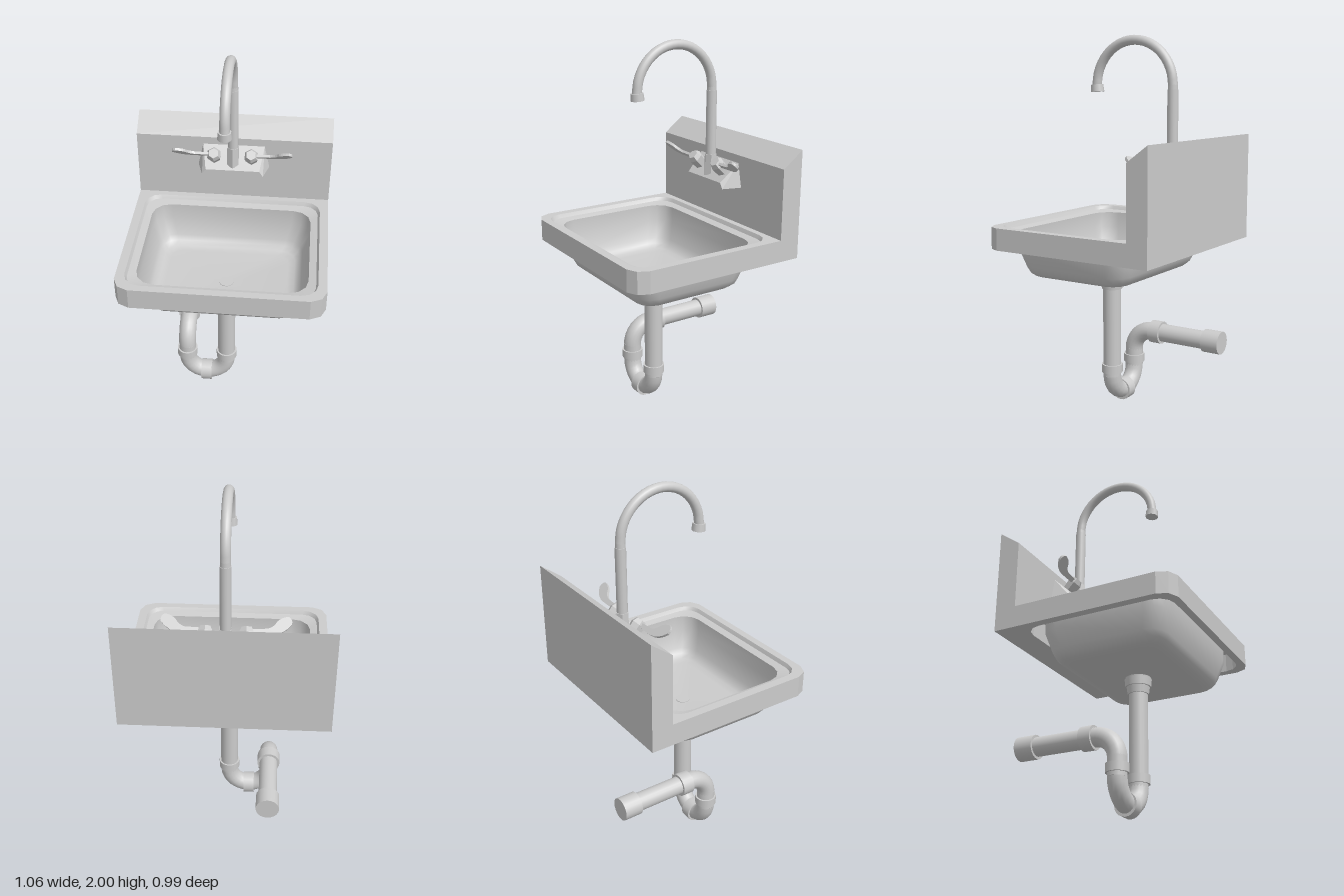
import * as THREE from 'three';
import { toCreasedNormals } from 'three/addons/utils/BufferGeometryUtils.js';
import { ConvexGeometry } from 'three/addons/geometries/ConvexGeometry.js';

const material = new THREE.MeshStandardMaterial({ color: 0xcccccc });
const thin = new THREE.MeshStandardMaterial({ color: 0xcccccc, side: THREE.DoubleSide });
const flat = new THREE.MeshStandardMaterial({ color: 0xcccccc, flatShading: true });
const V = (x, y, z) => new THREE.Vector3(x, y, z);
const UP = V(0, 1, 0);
const BOWL_Z = 0.057; // centre of bowl and drain

function add(parent, name, geometry, mat = material) {
  const mesh = new THREE.Mesh(geometry, mat);
  mesh.name = name;
  parent.add(mesh);
  return mesh;
}

// Cylinder or cone running from a to b
function rod(parent, name, a, b, r0, r1 = r0, sides = 20, mat = material) {
  const dir = b.clone().sub(a);
  const mesh = add(parent, name, new THREE.CylinderGeometry(r1, r0, dir.length(), sides), mat);
  mesh.position.copy(a).add(b).multiplyScalar(0.5);
  mesh.quaternion.setFromUnitVectors(UP, dir.normalize());
  return mesh;
}

// Circular pipe bend; at(cos, sin) places a point of the arc
function bend(parent, name, at, a0, a1, r, segments) {
  const points = [];
  for (let i = 0; i <= 12; i++) {
    const a = a0 + (a1 - a0) * i / 12;
    points.push(at(Math.cos(a), Math.sin(a)));
  }
  const curve = new THREE.CatmullRomCurve3(points);
  return add(parent, name, new THREE.TubeGeometry(curve, segments, r, 18), thin);
}

// Rounded rectangle outline as 2D points
function ring(hx, hz, r, steps = 3) {
  const points = [];
  [[1, 1], [-1, 1], [-1, -1], [1, -1]].forEach(([sx, sz], q) => {
    for (let i = 0; i <= steps; i++) {
      const a = (q + i / steps) * Math.PI / 2;
      points.push(new THREE.Vector2(sx * (hx - r) + r * Math.cos(a), sz * (hz - r) + r * Math.sin(a)));
    }
  });
  return points;
}

function bowlGeometry() {
  // half width, half depth, corner radius, height
  const sections = [
    [0.485, 0.393, 0.085, 1.03], [0.475, 0.383, 0.08, 1.01], [0.437, 0.345, 0.1, 1.0],
    [0.435, 0.345, 0.1, 0.915], [0.403, 0.315, 0.095, 0.815], [0.39, 0.3, 0.09, 0.785],
    [0.365, 0.277, 0.08, 0.765], [0.33, 0.242, 0.07, 0.758], [0.038, 0.038, 0.037, 0.75],
  ];
  const positions = [], index = [];
  const n = 16;
  for (const [hx, hz, r, y] of sections) {
    for (const p of ring(hx, hz, r)) positions.push(p.x, y, p.y + BOWL_Z);
  }
  for (let s = 0; s < sections.length - 1; s++) {
    for (let i = 0; i < n; i++) {
      const a = s * n + i, b = s * n + (i + 1) % n;
      index.push(a, b, a + n, b, b + n, a + n);
    }
  }
  const geometry = new THREE.BufferGeometry();
  geometry.setAttribute('position', new THREE.Float32BufferAttribute(positions, 3));
  geometry.setIndex(index);
  return toCreasedNormals(geometry, 0.75);
}

function buildBasin(group) {
  // Counter with chamfered front corners and an opening for the bowl
  const outline = [[-0.53, 0.485], [-0.53, -0.41], [-0.505, -0.465], [-0.45, -0.49],
    [0.45, -0.49], [0.505, -0.465], [0.53, -0.41], [0.53, 0.485]];
  const shape = new THREE.Shape(outline.map(([x, y]) => new THREE.Vector2(x, y)));
  const hole = ring(0.485, 0.393, 0.085).map(p => new THREE.Vector2(p.x, -p.y - BOWL_Z));
  shape.holes.push(new THREE.Path(hole));
  const counter = new THREE.ExtrudeGeometry(shape, { depth: 0.115, bevelEnabled: false });
  counter.rotateX(-Math.PI / 2).translate(0, 0.915, 0);
  add(group, 'counter', counter);
  add(group, 'bowl', bowlGeometry(), thin);

  // Backsplash with sloping top; profile drawn as (-z, y)
  const profile = [[0.37, 1.03], [0.485, 1.03], [0.485, 1.485], [0.37, 1.4]];
  const splash = new THREE.ExtrudeGeometry(
    new THREE.Shape(profile.map(([x, y]) => new THREE.Vector2(x, y))),
    { depth: 1.06, bevelEnabled: false });
  splash.rotateY(Math.PI / 2).translate(-0.53, 0, 0);
  add(group, 'backsplash', splash);
}

function buildDrain(group) {
  const z = BOWL_Z, x2 = -0.228, r = 0.049, elbowY = 0.383;
  // Tailpiece and flange under the bowl
  rod(group, 'drainPlug', V(0, 0.735, z), V(0, 0.753, z), 0.038);
  rod(group, 'drainFlange', V(0, 0.66, z), V(0, 0.75, z), 0.055, 0.067);
  rod(group, 'drainFlangeBand', V(0, 0.7, z), V(0, 0.742, z), 0.067, 0.071);
  rod(group, 'tailpiece', V(0, 0.17, z), V(0, 0.67, z), r);
  // Trap
  bend(group, 'trapBend', (c, s) => V(x2 / 2 + 0.114 * c, 0.175 + 0.114 * s, z), 0, -Math.PI, r, 12);
  rod(group, 'trapRiser', V(x2, 0.17, z), V(x2, 0.27, z), r);
  for (const x of [0, x2]) rod(group, 'trapCoupling', V(x, 0.19, z), V(x, 0.235, z), 0.058);
  rod(group, 'trapBottomCoupling', V(-0.145, 0.061, z), V(-0.085, 0.061, z), 0.06);
  // Elbow and pipe running to the wall
  bend(group, 'elbow', (c, s) => V(x2, 0.265 + 0.118 * s, z - 0.118 + 0.118 * c), 0, Math.PI / 2, r, 8);
  rod(group, 'wallPipe', V(x2, elbowY, -0.055), V(x2, elbowY, -0.48), r);
  rod(group, 'elbowCoupling', V(x2, elbowY, -0.065), V(x2, elbowY, -0.13), 0.062);
  rod(group, 'wallCoupling', V(x2, elbowY, -0.395), V(x2, elbowY, -0.495), 0.062);
}

function buildFaucet(group) {
  // Wedge-shaped mounting block
  const corners = [];
  for (const s of [-1, 1]) {
    corners.push(V(s * 0.195, 1.23, -0.372), V(s * 0.167, 1.36, -0.372),
      V(s * 0.165, 1.23, -0.268), V(s * 0.145, 1.26, -0.268));
  }
  add(group, 'faucetBlock', new ConvexGeometry(corners), flat);

  // Gooseneck spout
  const z = -0.31;
  rod(group, 'spoutBase', V(0, 1.27, z), V(0, 1.385, z), 0.036, 0.034, 6, flat);
  rod(group, 'spoutStem', V(0, 1.3, z), V(0, 1.725, z), 0.028, 0.028, 14);
  bend(group, 'gooseneck', (c, s) => V(0, 1.745 + 0.23 * s, -0.08 + 0.23 * c), Math.PI, 0, 0.025, 24);
  rod(group, 'spoutLowerNeck', V(0, 1.715, z), V(0, 1.75, z), 0.026, 0.025, 14);
  rod(group, 'spoutTip', V(0, 1.712, 0.147), V(0, 1.75, 0.15), 0.036, 0.033, 10);

  // Pair of valve knobs with curved flat levers
  const lever = new THREE.Shape();
  lever.moveTo(0.01, 0.045);
  lever.lineTo(0.12, 0.046);
  lever.quadraticCurveTo(0.18, 0.046, 0.218, 0.098);
  lever.quadraticCurveTo(0.223, 0.125, 0.2, 0.136);
  lever.quadraticCurveTo(0.165, 0.13, 0.148, 0.112);
  lever.quadraticCurveTo(0.13, 0.08, 0.1, 0.074);
  lever.lineTo(0.01, 0.07);
  const right = lever.getPoints(4);
  for (const s of [-1, 1]) {
    const handle = new THREE.Group();
    handle.name = s > 0 ? 'leftHandle' : 'rightHandle';
    handle.position.set(s * 0.1, 1.31, -0.32);
    handle.rotation.x = Math.PI / 4;
    rod(handle, 'knob', V(0, -0.01, 0), V(0, 0.055, 0), 0.034, 0.04, 6, flat);
    rod(handle, 'knobCap', V(0, 0.055, 0), V(0, 0.08, 0), 0.04, 0.028, 6, flat);
    const outline = new THREE.Shape(right.map(p => new THREE.Vector2(s * p.x, p.y)));
    const blade = new THREE.ExtrudeGeometry(outline, { depth: 0.014, bevelEnabled: false });
    add(handle, 'lever', blade.translate(0, 0, -0.007));
    group.add(handle);
  }
}

export function createModel() {
  const model = new THREE.Group();
  model.name = 'wallSink';
  for (const [name, build] of [['basin', buildBasin], ['drain', buildDrain], ['faucet', buildFaucet]]) {
    const group = new THREE.Group();
    group.name = name;
    build(group);
    model.add(group);
  }
  return model;
}
